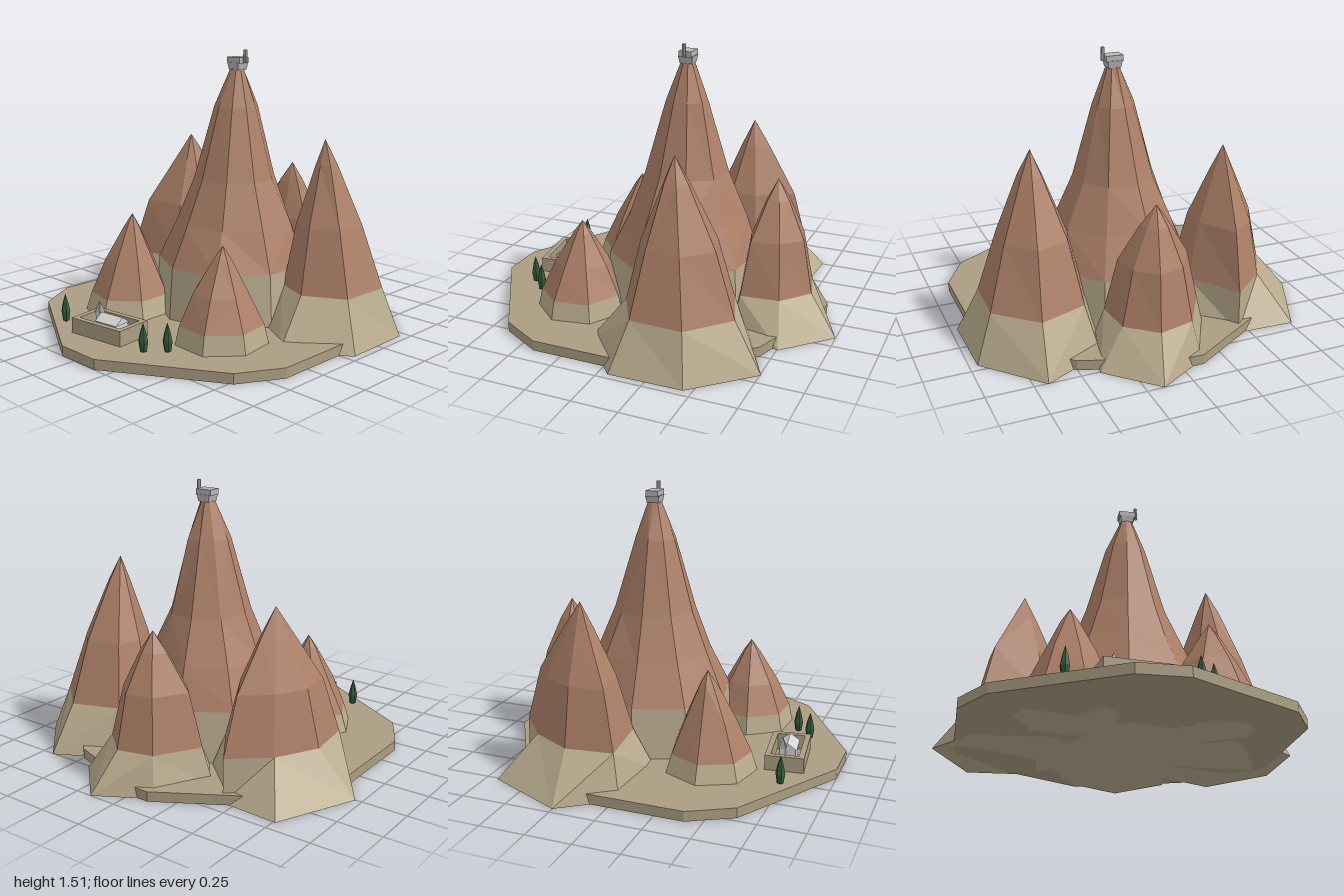
import * as THREE from 'three';

const material = (name, color) => {
  const m = new THREE.MeshStandardMaterial({ color, flatShading: true });
  m.name = name;
  return m;
};

// Small seeded random, -1 to 1
function seeded(seed) {
  return () => {
    seed = (seed * 16807) % 2147483647;
    return (seed / 2147483647) * 2 - 1;
  };
}

// Facets between stacked rings of equal size, closed by a tip or a floor
function loft(rings, { tip, floor }) {
  const pos = [];
  const tri = (a, b, c) => pos.push(...a, ...b, ...c);
  const n = rings[0].length;
  for (let r = 0; r < rings.length - 1; r++) {
    for (let i = 0; i < n; i++) {
      const j = (i + 1) % n;
      const [a, b, c, d] = [rings[r][i], rings[r][j], rings[r + 1][j], rings[r + 1][i]];
      if ((i + r) % 2) { tri(a, b, c); tri(a, c, d); }
      else { tri(a, b, d); tri(b, c, d); }
    }
  }
  const top = rings[rings.length - 1];
  for (let i = 0; i < n; i++) {
    const j = (i + 1) % n;
    if (tip) tri(top[i], top[j], tip);
    if (floor && i > 0 && i < n - 1) tri(rings[0][0], rings[0][j], rings[0][i]);
  }
  const g = new THREE.BufferGeometry();
  g.setAttribute('position', new THREE.Float32BufferAttribute(pos, 3));
  g.computeVertexNormals();
  return g;
}

// Evenly spaced ridges as [angle in degrees, rock radius, foot radius]
const evenRidges = (count, start, rock, foot) =>
  Array.from({ length: count }, (_, i) => [start + (i * 360) / count, rock, foot]);

export function createModel() {
  const model = new THREE.Group();
  model.name = 'mountainSite';
  const mats = {
    rock: material('red brown rock', 0xad8068),
    foot: material('pale sandy rock', 0xbaac8e),
    ground: material('sandy ground', 0xab9d82),
    stone: material('light grey stone', 0xb4b6b4),
    white: material('pale plaster', 0xd4d6d6),
    roof: material('grey roof', 0x9a9c9c),
    leaf: material('dark green', 0x345a3f),
    trunk: material('bark brown', 0x5a4634),
  };
  const add = (parent, name, geometry, mat, x = 0, y = 0, z = 0) => {
    const mesh = new THREE.Mesh(geometry, mat);
    mesh.name = name;
    mesh.position.set(x, y, z);
    parent.add(mesh);
  };
  const group = (name, x = 0, y = 0, z = 0) => {
    const g = new THREE.Group();
    g.name = name;
    g.position.set(x, y, z);
    model.add(g);
    return g;
  };

  // Ground slab
  const outline = [[-0.85, -0.3], [-0.85, 0.41], [-0.72, 0.64], [-0.1, 1], [0.16, 1], [0.77, 0.64], [0.9, 0.41],
    [0.9, -0.3], [0.5, -0.69], [-0.05, -0.88], [-0.12, -0.88], [-0.53, -0.64]];
  const slab = new THREE.ExtrudeGeometry(
    new THREE.Shape(outline.map(([x, z]) => new THREE.Vector2(x, -z))), { depth: 0.055, bevelEnabled: false });
  slab.rotateX(-Math.PI / 2);
  add(model, 'groundSlab', slab, mats.ground);

  // Peak: sandy foot up to the split height, then rock rings shrinking toward the apex
  const addPeak = (name, apex, [cx, cz], split, steps, ridges) => {
    const g = group(name);
    const rand = seeded(71 + model.children.length * 137);
    const ring = (y, column) => ridges.map((ridge) => {
      const a = THREE.MathUtils.degToRad(ridge[0]);
      return [cx + ridge[column] * Math.cos(a), y, cz + ridge[column] * Math.sin(a)];
    }).reverse();
    const base = ring(split, 1);
    const rings = [base, ...steps.map(([y, s]) => base.map(([x, , z]) => {
      const t = s * (1 + 0.06 * rand());
      return [apex[0] + (x - apex[0]) * t, y, apex[2] + (z - apex[2]) * t];
    }))];
    add(g, 'peakFoot', loft([ring(0, 2), base], { floor: true }), mats.foot);
    add(g, 'peakRock', loft(rings, { tip: apex }), mats.rock);
  };

  addPeak('centralPeak', [0.07, 1.41, -0.11], [0.06, -0.09], 0.34,
    [[0.56, 0.79], [0.8, 0.54], [1.2, 0.28], [1.4, 0.09]], evenRidges(9, 98, 0.42, 0.445));
  addPeak('rightFrontPeak', [-0.31, 0.6, 0.34], [-0.31, 0.36], 0.155,
    [[0.34, 0.64], [0.53, 0.2]], evenRidges(7, 25, 0.22, 0.27));
  addPeak('leftFrontPeak', [0.42, 0.56, 0.36], [0.42, 0.37], 0.155,
    [[0.32, 0.66], [0.49, 0.22]], evenRidges(7, 16, 0.225, 0.26));
  addPeak('rightPeak', [-0.5, 0.955, -0.3], [-0.5, -0.31], 0.24, [[0.55, 0.72], [0.81, 0.27]],
    [[128, 0.37, 0.425], [173, 0.26, 0.467], [235, 0.236, 0.458], [280, 0.36, 0.365],
      [339, 0.256, 0.35], [385, 0.264, 0.32], [426, 0.28, 0.4]]);
  addPeak('leftPeak', [0.58, 1.055, -0.25], [0.6, -0.28], 0.26, [[0.6, 0.68], [0.92, 0.22]],
    [[32, 0.3, 0.43], [82, 0.28, 0.485], [127, 0.25, 0.4], [190, 0.275, 0.35],
      [228, 0.312, 0.403], [279, 0.33, 0.483], [334, 0.295, 0.398]]);
  addPeak('backPeak', [0.04, 0.81, -0.62], [0.04, -0.64], 0.21, [[0.5, 0.74], [0.7, 0.3]],
    [[30, 0.278, 0.35], [72, 0.2, 0.25], [135, 0.24, 0.32], [164, 0.282, 0.342],
      [230, 0.202, 0.262], [288, 0.215, 0.379], [342, 0.233, 0.38]]);

  // Summit station: flared body, roof slab and mast
  const summit = group('summitStation', 0.07, 1.4, -0.11);
  const body = new THREE.CylinderGeometry(0.058, 0.048, 0.04, 4);
  body.rotateY(Math.PI / 4);
  add(summit, 'stationBody', body, mats.stone, 0, 0.018, 0);
  add(summit, 'stationRoof', new THREE.BoxGeometry(0.096, 0.032, 0.072), mats.stone, 0, 0.05, 0);
  add(summit, 'stationMast', new THREE.CylinderGeometry(0.011, 0.011, 0.07, 8), mats.stone, 0.056, 0.073, 0);

  // Walled courtyard with a gabled hall and a small tower
  const yard = group('courtyard', -0.058, 0.05, 0.722);
  yard.rotation.y = 0.13;
  for (const s of [-1, 1]) {
    add(yard, 'longWall', new THREE.BoxGeometry(0.345, 0.088, 0.03), mats.ground, 0, 0.044, s * 0.09);
    add(yard, 'shortWall', new THREE.BoxGeometry(0.03, 0.088, 0.15), mats.ground, s * 0.1575, 0.044, 0);
  }
  add(yard, 'hallWalls', new THREE.BoxGeometry(0.14, 0.08, 0.09), mats.white, 0.02, 0.04, 0);
  const gable = new THREE.Shape([[-0.052, 0], [0.052, 0], [0, 0.036]].map((p) => new THREE.Vector2(...p)));
  const hallRoof = new THREE.ExtrudeGeometry(gable, { depth: 0.15, bevelEnabled: false });
  hallRoof.translate(0, 0, -0.075).rotateY(Math.PI / 2);
  add(yard, 'hallRoof', hallRoof, mats.white, 0.02, 0.08, 0);
  add(yard, 'towerWalls', new THREE.BoxGeometry(0.032, 0.11, 0.032), mats.white, -0.087, 0.055, -0.02);
  const spire = new THREE.ConeGeometry(0.028, 0.06, 4);
  spire.rotateY(Math.PI / 4);
  add(yard, 'towerRoof', spire, mats.roof, -0.087, 0.135, -0.02);

  // Slender trees
  const crown = [[0, 0], [0.018, 0], [0.026, 0.05], [0.016, 0.1], [0, 0.15]].map((p) => new THREE.Vector2(...p));
  for (const [x, z] of [[-0.38, 0.765], [0.262, 0.765], [0.347, 0.678]]) {
    const tree = group('tree', x, 0.05, z);
    add(tree, 'treeTrunk', new THREE.CylinderGeometry(0.006, 0.006, 0.02, 6), mats.trunk, 0, 0.01, 0);
    add(tree, 'treeCrown', new THREE.LatheGeometry(crown, 6), mats.leaf, 0, 0.012, 0);
  }
  return model;
}
